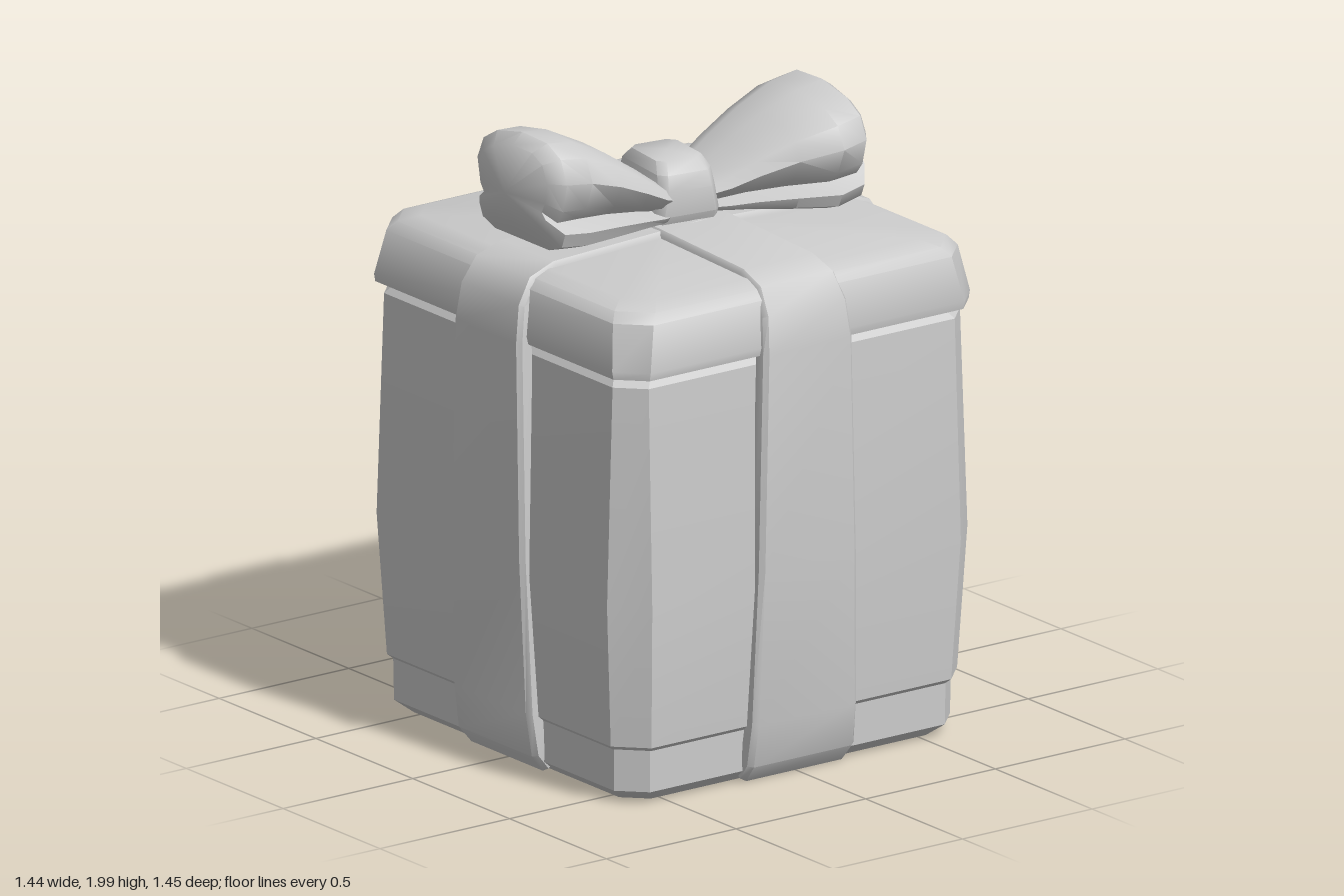
import * as THREE from 'three';
import { toCreasedNormals } from 'three/addons/utils/BufferGeometryUtils.js';

// Skin a stack of closed rings of [x, y, z] points and cap both ends.
function loft(rings, crease = 0.6, endBulge = [0, 0, 0]) {
  const n = rings[0].length, last = rings.length - 1;
  const pos = rings.flat(2), idx = [];
  for (let i = 0; i < last; i++) {
    for (let j = 0; j < n; j++) {
      const a = i * n + j, b = i * n + (j + 1) % n;
      idx.push(a, b, b + n, a, b + n, a + n);
    }
  }
  [0, last].forEach((r) => {
    const c = pos.length / 3;
    for (let k = 0; k < 3; k++) {
      pos.push(rings[r].reduce((s, p) => s + p[k], 0) / n + (r ? endBulge[k] : 0));
    }
    for (let j = 0; j < n; j++) {
      const a = r * n + j, b = r * n + (j + 1) % n;
      if (r) idx.push(a, b, c); else idx.push(b, a, c);
    }
  });
  const g = new THREE.BufferGeometry();
  g.setAttribute('position', new THREE.Float32BufferAttribute(pos, 3));
  g.setIndex(idx);
  return toCreasedNormals(g, crease);
}

// Rectangle with cut corners at height y.
function cutSquare([y, hx, hz, c]) {
  return [
    [hx, y, hz - c], [hx, y, -hz + c], [hx - c, y, -hz], [-hx + c, y, -hz],
    [-hx, y, -hz + c], [-hx, y, hz - c], [-hx + c, y, hz], [hx - c, y, hz],
  ];
}

// Strap running up one side, over the top and down the other (x-y plane).
function strap(lift) {
  const half = [
    [0.64, 0.005, 0.2], [0.685, 0.06, 0.205], [0.705, 0.2, 0.2], [0.722, 0.7, 0.187],
    [0.722, 1.4, 0.17], [0.705, 1.52, 0.16], [0.655, 1.6, 0.15], [0.56, 1.632, 0.145],
  ];
  const path = [...half, [0, 1.655, 0.145], ...half.map(([u, y, w]) => [-u, y, w]).reverse()];
  const section = [[1, -0.05], [1, -0.014], [0.92, 0], [-0.92, 0], [-1, -0.014], [-1, -0.05]];
  const rings = path.map(([u, y, w], i) => {
    const p = path[Math.max(i - 1, 0)], q = path[Math.min(i + 1, path.length - 1)];
    const du = q[0] - p[0], dy = q[1] - p[1], len = Math.hypot(du, dy);
    return section.map(([s, d]) => [
      u + (dy / len) * (d + lift), y - (du / len) * (d + lift), s * w,
    ]);
  });
  return loft(rings, 0.75);
}

// Puffed bow loop along +x, with a pleat pinched into both sides.
function bowLoop() {
  // x, z min, z max, y min, y max, pleat depth
  const stations = [
    [0.05, -0.11, 0.11, 1.66, 1.75, 0.1],
    [0.12, -0.14, 0.15, 1.655, 1.79, 0.14],
    [0.2, -0.15, 0.19, 1.65, 1.85, 0.14],
    [0.31, -0.157, 0.25, 1.64, 1.925, 0.12],
    [0.43, -0.167, 0.315, 1.633, 1.985, 0.08],
    [0.53, -0.168, 0.295, 1.645, 2.0, 0.03],
    [0.575, -0.125, 0.23, 1.71, 1.97, 0],
  ];
  // z and y as fractions of the station, and a flag for the pleat
  const side = [
    [0.78, 0.97, 0], [0.93, 0.87, 0], [1, 0.66, 0], [0.97, 0.4, 0.5],
    [0.92, 0.28, 1], [0.98, 0.2, 0], [0.94, 0.07, 0], [0.8, 0, 0],
  ];
  const section = [[0.5, 1, 0], ...side, [0.5, 0, 0],
    ...side.map(([s, t, f]) => [1 - s, t, f]).reverse()];
  const rings = stations.map(([x, z0, z1, y0, y1, pleat]) => section.map(([s, t, f]) => {
    const pinched = s + (s > 0.5 ? -1 : 1) * f * pleat;
    // the outer front corner droops a little
    const droop = 0.06 * Math.max(0, s - 0.4) * t * (x / 0.5);
    return [x, y0 + (y1 - y0) * t - droop, z0 + (z1 - z0) * pinched];
  }));
  return loft(rings, 0.8, [0.035, 0, 0]);
}

export function createModel() {
  const model = new THREE.Group();
  model.name = 'giftBox';
  const grey = new THREE.MeshStandardMaterial({ color: 0xcccccc });
  grey.name = 'lightGrey';

  const add = (name, geometry, parent = model) => {
    const mesh = new THREE.Mesh(geometry, grey);
    mesh.name = name;
    parent.add(mesh);
    return mesh;
  };
  const stack = (rows, rise = 0) => loft(rows.map(cutSquare), 0.6, [0, rise, 0]);

  // Box: plinth, bulging body and lid
  add('base', stack([
    [0, 0.6, 0.6, 0.07], [0.04, 0.648, 0.648, 0.08], [0.19, 0.65, 0.65, 0.08],
  ]));
  add('body', stack([
    [0.17, 0.645, 0.645, 0.08], [0.19, 0.668, 0.668, 0.09], [0.65, 0.695, 0.695, 0.1],
    [1.36, 0.67, 0.67, 0.08], [1.4, 0.64, 0.64, 0.08],
  ]));
  add('lid', stack([
    [1.385, 0.64, 0.64, 0.08], [1.395, 0.685, 0.695, 0.08], [1.42, 0.69, 0.7, 0.085],
    [1.565, 0.665, 0.675, 0.09], [1.595, 0.64, 0.65, 0.09], [1.615, 0.585, 0.595, 0.08],
  ], 0.02));

  // Two crossing ribbons
  add('sideRibbon', strap(0)).position.z = 0.005;
  const frontRibbon = add('frontRibbon', strap(0.004));
  frontRibbon.rotation.y = Math.PI / 2;
  frontRibbon.position.x = -0.01;

  // Bow: the two loops are half-turn copies around the knot
  const bow = new THREE.Group();
  bow.name = 'bow';
  model.add(bow);
  const loop = bowLoop();
  add('leftBowLoop', loop, bow);
  add('rightBowLoop', loop, bow).rotation.y = Math.PI;
  const knot = add('bowKnot', loft([
    [1.63, 0.115, 0.125, 0.025], [1.68, 0.115, 0.15, 0.025], [1.76, 0.1, 0.15, 0.025],
    [1.81, 0.095, 0.135, 0.025], [1.845, 0.08, 0.1, 0.025],
  ].map(cutSquare), 0.8, [0, 0.005, 0]), bow);
  knot.position.set(-0.01, 0, -0.015);
  knot.rotation.y = -0.13;

  return model;
}
